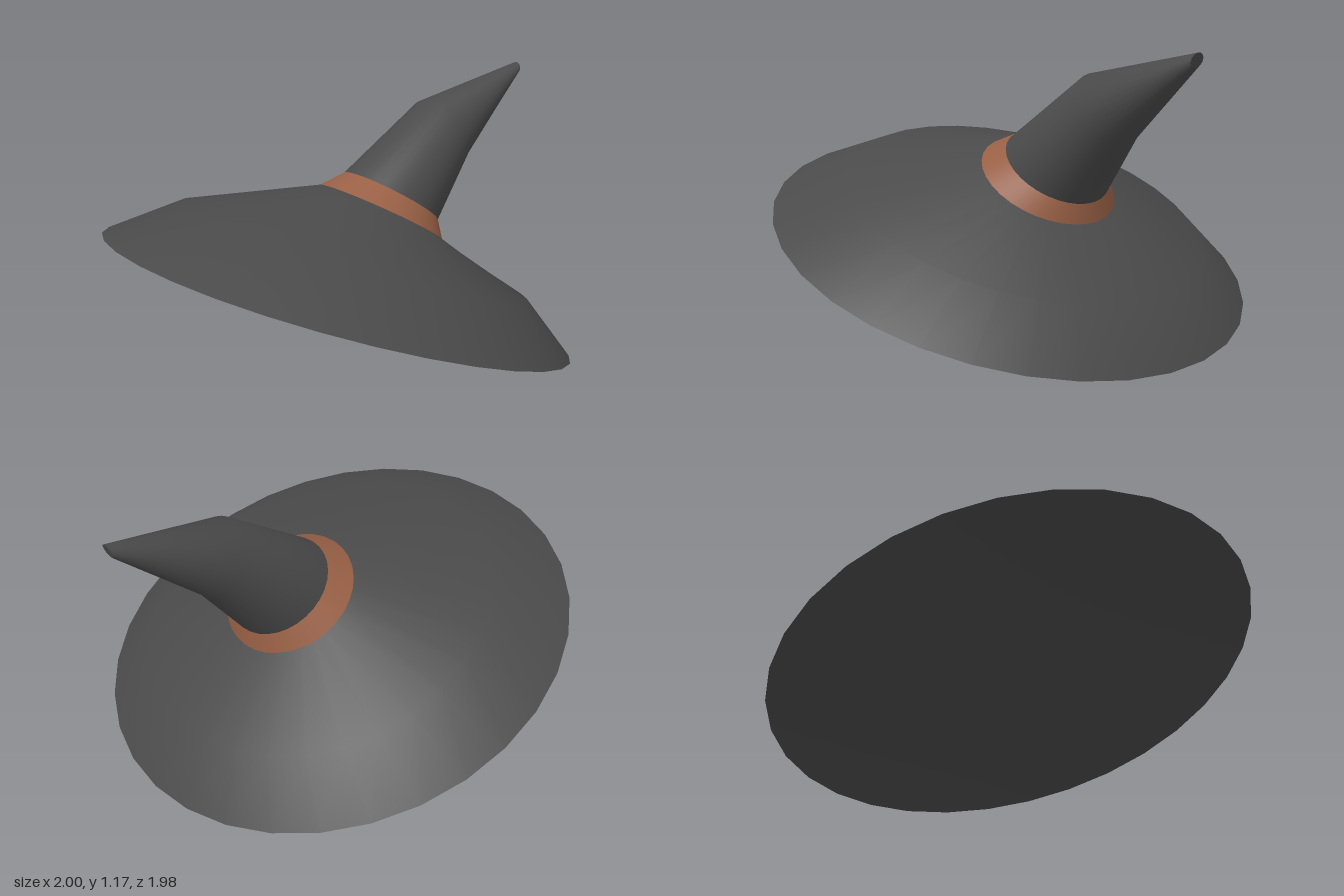
import * as THREE from 'three';

const SIDES = 32;

// Tilted rings, bottom to top: front [z, y], back [z, y], half width in x
const brimEdge = { front: [0.99, 0.69], back: [-0.885, 0.0], w: 1.0 };
const brimBend = { front: [0.65, 0.785], back: [-0.74, 0.24], w: 0.745 };
const bandBottom = { front: [0.05, 0.79], back: [-0.42, 0.49], w: 0.288 };
const bandTop = { front: [-0.06, 0.83], back: [-0.42, 0.57], w: 0.222 };
const crownBend = { front: [-0.45, 1.08], back: [-0.615, 0.815], w: 0.155 };
const tip = { front: [-0.99, 1.175], back: [-0.972, 1.12], w: 0.03 };

// Apex of the shallow hollow under the brim [x, y, z]
const hollowApex = [0, 0.58, -0.035];

const ringCentre = ({ front, back }) => [0, (front[1] + back[1]) / 2, (front[0] + back[0]) / 2];

function ringPoints(ring) {
  const [, cy, cz] = ringCentre(ring);
  const points = [];
  for (let i = 0; i < SIDES; i++) {
    const a = (i / SIDES) * Math.PI * 2;
    points.push(
      ring.w * Math.sin(a),
      cy + (ring.front[1] - cy) * Math.cos(a),
      cz + (ring.front[0] - cz) * Math.cos(a)
    );
  }
  return points;
}

function makeMesh(name, positions, index, material) {
  const geometry = new THREE.BufferGeometry();
  geometry.setAttribute('position', new THREE.Float32BufferAttribute(positions, 3));
  geometry.setIndex(index);
  geometry.computeVertexNormals();
  const mesh = new THREE.Mesh(geometry, material);
  mesh.name = name;
  return mesh;
}

// Smooth skin through a stack of rings
function loft(name, rings, material) {
  const index = [];
  for (let r = 0; r < rings.length - 1; r++) {
    for (let i = 0; i < SIDES; i++) {
      const j = (i + 1) % SIDES;
      const a = r * SIDES + i, b = r * SIDES + j;
      index.push(a, b, b + SIDES, a, b + SIDES, a + SIDES);
    }
  }
  return makeMesh(name, rings.flatMap(ringPoints), index, material);
}

// Fan closing a ring towards an apex, facing up or down
function fan(name, ring, apex, up, material) {
  const index = [];
  for (let i = 0; i < SIDES; i++) {
    const j = (i + 1) % SIDES;
    index.push(SIDES, up ? i : j, up ? j : i);
  }
  return makeMesh(name, [...ringPoints(ring), ...apex], index, material);
}

export function createModel() {
  const felt = new THREE.MeshStandardMaterial({ color: 0x4a4a4a });
  const leather = new THREE.MeshStandardMaterial({ color: 0x996045 });

  const hat = new THREE.Group();
  hat.name = 'pointedHat';
  hat.add(
    loft('brim', [brimEdge, brimBend, bandBottom], felt),
    fan('brimUnderside', brimEdge, hollowApex, false, felt),
    loft('hatBand', [bandBottom, bandTop], leather),
    loft('crown', [bandTop, crownBend, tip], felt),
    fan('crownTip', tip, ringCentre(tip), true, felt)
  );
  return hat;
}
